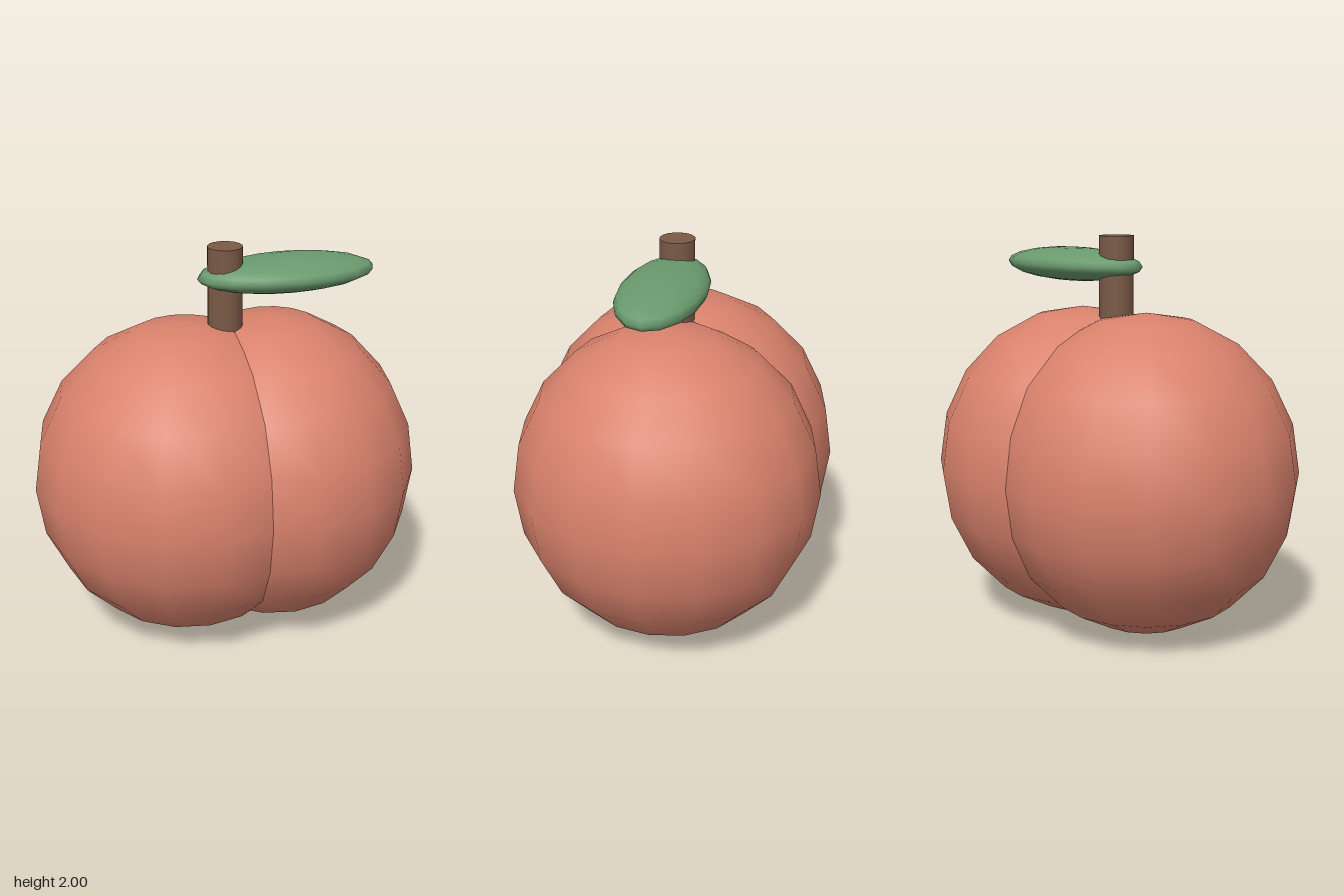
import * as THREE from 'three';

export function createModel() {
  const group = new THREE.Group();
  group.name = 'peach';

  const material = (name, color) => {
    const m = new THREE.MeshStandardMaterial({ color });
    m.name = name;
    return m;
  };
  const peachSkin = material('peach skin', 0xd9826c);
  const leafGreen = material('leaf green', 0x6a9a6e);
  const stemBrown = material('stem brown', 0x7a5a46);

  const add = (name, geometry, mat, x, y, z) => {
    const mesh = new THREE.Mesh(geometry, mat);
    mesh.name = name;
    mesh.position.set(x, y, z);
    group.add(mesh);
  };
  // Smooth low-poly ellipsoid with its poles on the y axis
  const ellipsoid = (rx, ry, rz) => new THREE.SphereGeometry(1, 16, 10).scale(rx, ry, rz);

  // Two overlapping lobes that meet in the seam
  add('rightLobe', ellipsoid(0.78, 0.813, 0.777), peachSkin, -0.21, 0.816, 0);
  add('leftLobe', ellipsoid(0.737, 0.813, 0.777), peachSkin, 0.248, 0.816, 0);

  // Stem rising from the seam, with the leaf pierced by it
  add('stem', new THREE.CylinderGeometry(0.087, 0.087, 0.5, 16), stemBrown, 0, 1.75, 0);
  add('leaf', ellipsoid(0.458, 0.086, 0.21), leafGreen, 0.317, 1.844, 0);

  return group;
}
